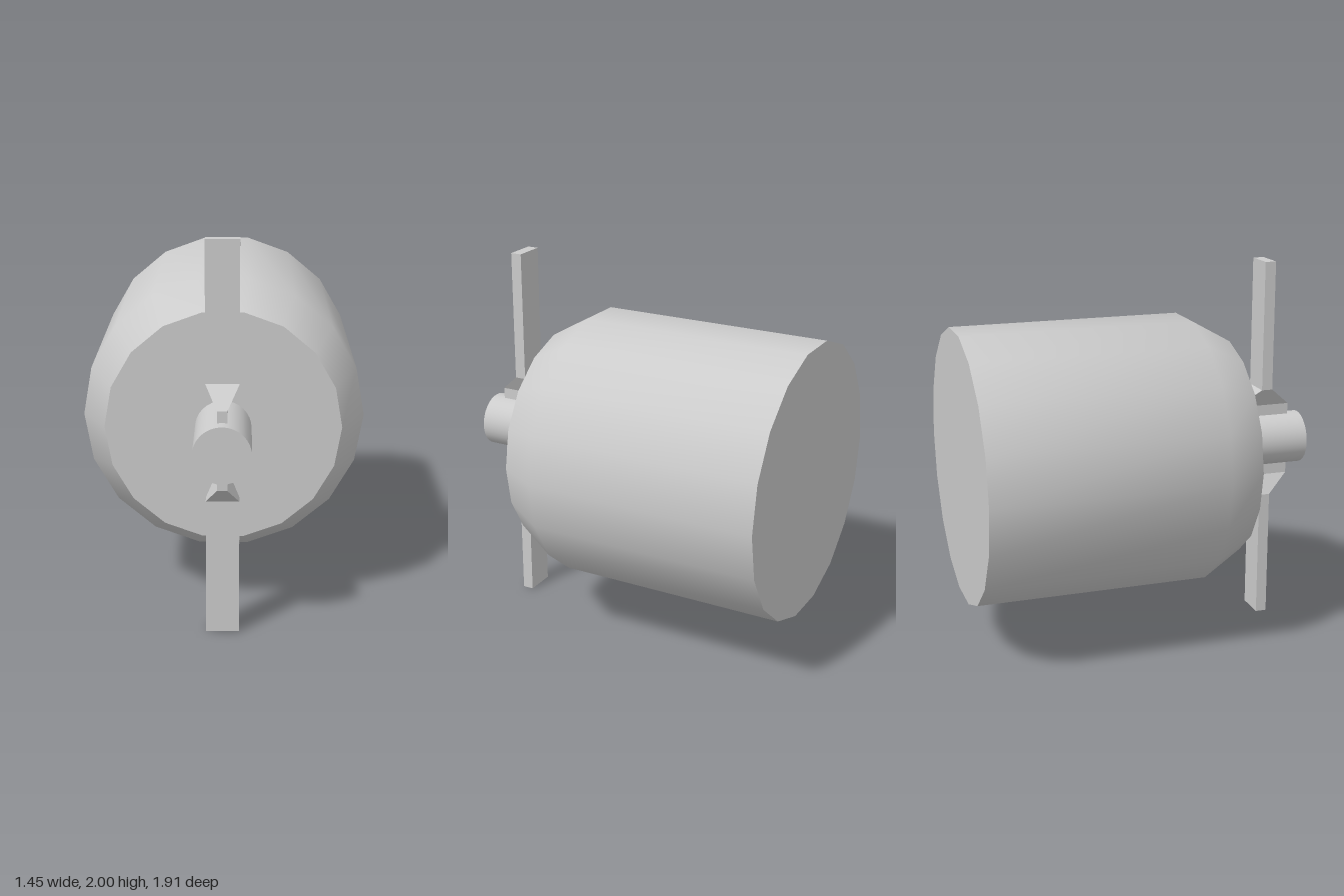
import * as THREE from 'three';
import { toCreasedNormals } from 'three/addons/utils/BufferGeometryUtils.js';

const AXIS_Y = 1;
const BLADE_Z = 0.737;

// Blade cross-sections from root to tip: distance from the axis, half width, half depth
const BLADE_ROWS = [
  [0.1, 0.025, 0.151],
  [0.2, 0.025, 0.151],
  [0.3, 0.083, 0.03],
  [1.0, 0.083, 0.03],
];

// A box with its rows moved onto the blade cross-sections
function bladeGeometry() {
  const box = new THREE.BoxGeometry(2, 1, 2, 1, BLADE_ROWS.length - 1, 1);
  const p = box.attributes.position;
  for (let i = 0; i < p.count; i++) {
    const row = Math.round((p.getY(i) + 0.5) * (BLADE_ROWS.length - 1));
    const [y, halfWidth, halfDepth] = BLADE_ROWS[row];
    p.setXYZ(i, p.getX(i) * halfWidth, y, p.getZ(i) * halfDepth);
  }
  const geometry = box.toNonIndexed();
  geometry.computeVertexNormals();
  return geometry;
}

export function createModel() {
  const group = new THREE.Group();
  const material = new THREE.MeshStandardMaterial({ color: 0xcccccc });

  function add(name, geometry, y, z) {
    const mesh = new THREE.Mesh(geometry, material);
    mesh.name = name;
    mesh.position.set(0, y, z);
    group.add(mesh);
    return mesh;
  }

  // Body: 18-sided drum with a bevelled front and closed ends
  const profile = [[0, -0.957], [0.727, -0.957], [0.727, 0.279], [0.6, 0.5], [0, 0.5]]
    .map(([r, z]) => new THREE.Vector2(r, z));
  const drum = new THREE.LatheGeometry(profile, 18, Math.PI / 2);
  drum.rotateX(Math.PI / 2);
  add('body', toCreasedNormals(drum, 0.7), AXIS_Y, 0);

  // Hub: short round shaft in front of the body
  const hub = new THREE.CylinderGeometry(0.143, 0.143, 0.44, 32);
  hub.rotateX(Math.PI / 2);
  add('hub', hub, AXIS_Y, BLADE_Z);

  // Blades: one up, one down
  const blade = bladeGeometry();
  add('upperBlade', blade, AXIS_Y, BLADE_Z);
  add('lowerBlade', blade, AXIS_Y, BLADE_Z).rotation.z = Math.PI;

  return group;
}
